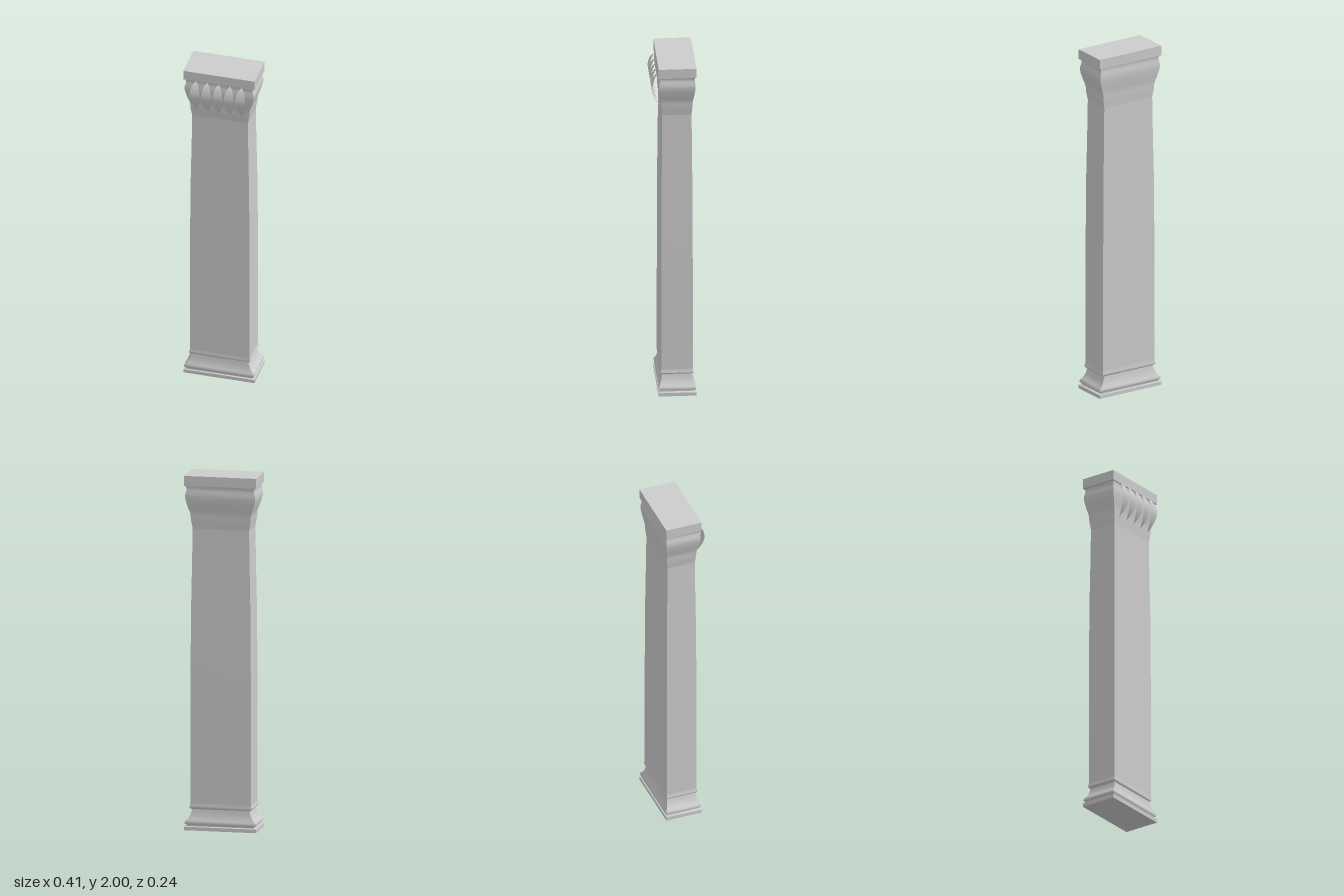
import * as THREE from 'three';
import { toCreasedNormals } from 'three/addons/utils/BufferGeometryUtils.js';

const CENTER_Z = -0.02, DEPTH = 0.51;
const material = new THREE.MeshStandardMaterial({ color: 0xcccccc, side: THREE.DoubleSide });

// Rectangular stack from a profile of [half width, height]
function pilasterPart(name, profile) {
  const points = profile.map(([w, y]) => new THREE.Vector2(w * Math.SQRT2, y));
  const geometry = new THREE.LatheGeometry(points, 4);
  geometry.rotateY(Math.PI / 4);
  geometry.scale(1, 1, DEPTH);
  geometry.translate(0, 0, CENTER_Z);
  const mesh = new THREE.Mesh(toCreasedNormals(geometry, 0.8), material);
  mesh.name = name;
  return mesh;
}

// Pointed leaf: a lens outline bent outward along an arc, with a slightly thicker middle
function leafGeometry() {
  const arc = new THREE.CatmullRomCurve3([
    [1.745, 0.07], [1.79, 0.099], [1.83, 0.114], [1.865, 0.119],
    [1.90, 0.113], [1.93, 0.099], [1.945, 0.085],
  ].map(([y, z]) => new THREE.Vector3(0, y, z)));
  const rows = 20, cols = 6;
  const geometry = new THREE.PlaneGeometry(1, 1, cols * 2, rows);
  const pos = geometry.attributes.position;
  for (let i = 0; i < pos.count; i++) {
    const t = pos.getY(i) + 0.5;
    const p = arc.getPoint(t);
    const lens = Math.sin(Math.PI * t);
    const u = (pos.getX(i) + 0.5) * 2; // 0..1 front face, 1..2 back face
    const across = u <= 1 ? u * 2 - 1 : 3 - u * 2;
    const back = u <= 1 ? 0 : 0.009 * lens * (1 - across * across);
    pos.setXYZ(i, across * 0.029 * lens, p.y, p.z - back);
  }
  return toCreasedNormals(geometry, 0.8);
}

export function createModel() {
  const group = new THREE.Group();

  // Stepped and flared base
  group.add(pilasterPart('base', [
    [0, 0], [0.205, 0], [0.205, 0.02], [0.192, 0.024], [0.192, 0.032],
    [0.2, 0.036], [0.202, 0.044], [0.199, 0.052], [0.187, 0.062],
    [0.175, 0.08], [0.167, 0.1], [0.163, 0.118], [0.172, 0.122],
    [0.177, 0.13], [0.174, 0.138], [0.172, 0.15],
  ]));

  // Gently tapering shaft
  group.add(pilasterPart('shaft', [
    [0.172, 0.15], [0.172, 0.6], [0.17, 1.0], [0.168, 1.25], [0.163, 1.5], [0.16, 1.7],
  ]));

  // Moulded capital
  group.add(pilasterPart('capital', [
    [0.16, 1.7], [0.164, 1.725], [0.169, 1.75], [0.17, 1.775], [0.174, 1.795],
    [0.182, 1.815], [0.188, 1.835], [0.194, 1.855], [0.198, 1.875],
    [0.199, 1.89], [0.196, 1.905], [0.191, 1.92], [0.191, 1.932], [0.196, 1.942],
  ]));

  // Top slab
  group.add(pilasterPart('abacus', [
    [0.19, 1.942], [0.205, 1.944], [0.205, 2], [0, 2],
  ]));

  // Row of leaves on the front of the capital
  const leaf = leafGeometry();
  for (let i = -2; i <= 2; i++) {
    const mesh = new THREE.Mesh(leaf, material);
    mesh.name = 'leaf';
    mesh.position.x = i * 0.0655;
    group.add(mesh);
  }
  return group;
}
